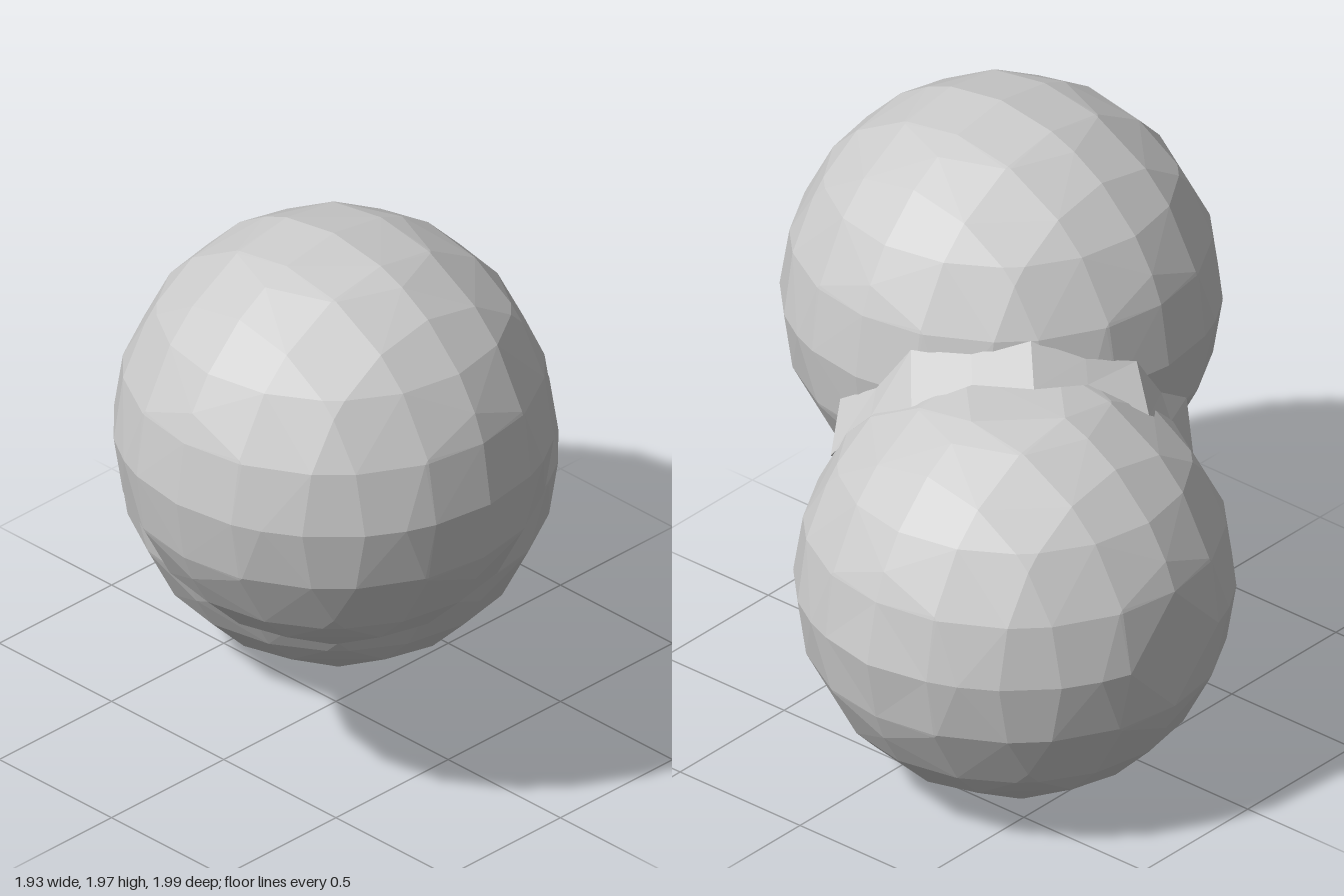
import * as THREE from 'three';
import { ConvexGeometry } from 'three/addons/geometries/ConvexGeometry.js';

const R = 0.7, STEP = 0.21;
const UPPER = new THREE.Vector3(0.28, 1.27, 0.29);
const LOWER = new THREE.Vector3(-0.28, 0.7, -0.29);

// Faceted ball: hull of the points where the lines of a cubic grid pierce a sphere
function ballGeometry() {
  const points = [];
  for (let i = -3; i <= 3; i++) {
    for (let j = -3; j <= 3; j++) {
      const a = i * STEP, b = j * STEP, h = R * R - a * a - b * b;
      if (h <= 0) continue;
      const c = Math.sqrt(h);
      for (const s of [c, -c]) {
        points.push(new THREE.Vector3(a, b, s), new THREE.Vector3(s, a, b), new THREE.Vector3(b, s, a));
      }
    }
  }
  return new ConvexGeometry(points);
}

// Shift the vertices at the pole in a given direction to a new radius
function movePole(geometry, direction, radius) {
  const pos = geometry.attributes.position, v = new THREE.Vector3();
  for (let i = 0; i < pos.count; i++) {
    v.fromBufferAttribute(pos, i);
    if (v.dot(direction) > R - 0.005) {
      v.copy(direction).multiplyScalar(radius);
      pos.setXYZ(i, v.x, v.y, v.z);
    }
  }
  geometry.computeVertexNormals();
}

// Jagged web around the seam, its rims lying on the two balls
function seamGeometry() {
  const half = UPPER.distanceTo(LOWER) / 2, segments = 18;
  const reach = [0.06, 0.11, 0.07, 0.13, 0.05, 0.1];
  const positions = [], index = [];
  for (let i = 0; i < segments; i++) {
    const t = (i / segments) * Math.PI * 2;
    for (const side of [-1, 1]) {
      const d = side < 0 ? reach[i % 6] : reach[(i + 2) % 6] * 0.7;
      const r = Math.sqrt(R * R - (half - d) ** 2) - 0.005;
      positions.push(r * Math.cos(t), side * d, r * Math.sin(t));
    }
    const a = 2 * i, b = 2 * ((i + 1) % segments);
    index.push(a, a + 1, b, b, a + 1, b + 1);
  }
  const g = new THREE.BufferGeometry();
  g.setAttribute('position', new THREE.Float32BufferAttribute(positions, 3));
  g.setIndex(index);
  g.computeVertexNormals();
  return g;
}

export function createModel() {
  const group = new THREE.Group();
  const material = new THREE.MeshStandardMaterial({
    color: 0xcccccc, flatShading: true, side: THREE.DoubleSide,
  });
  const add = (name, geometry, position) => {
    const mesh = new THREE.Mesh(geometry, material);
    mesh.name = name;
    mesh.position.copy(position);
    group.add(mesh);
    return mesh;
  };

  add('upperBall', ballGeometry(), UPPER);

  // Lower ball with slight dimples and a small bump at the back
  const lower = ballGeometry();
  for (const d of [[1, 0, 0], [-1, 0, 0], [0, 1, 0], [0, 0, 1]]) {
    movePole(lower, new THREE.Vector3(...d), R - 0.03);
  }
  movePole(lower, new THREE.Vector3(0, 0, -1), R + 0.01);
  add('lowerBall', lower, LOWER);

  const middle = UPPER.clone().add(LOWER).multiplyScalar(0.5);
  const axis = UPPER.clone().sub(LOWER).normalize();
  add('seam', seamGeometry(), middle).quaternion.setFromUnitVectors(new THREE.Vector3(0, 1, 0), axis);
  return group;
}
